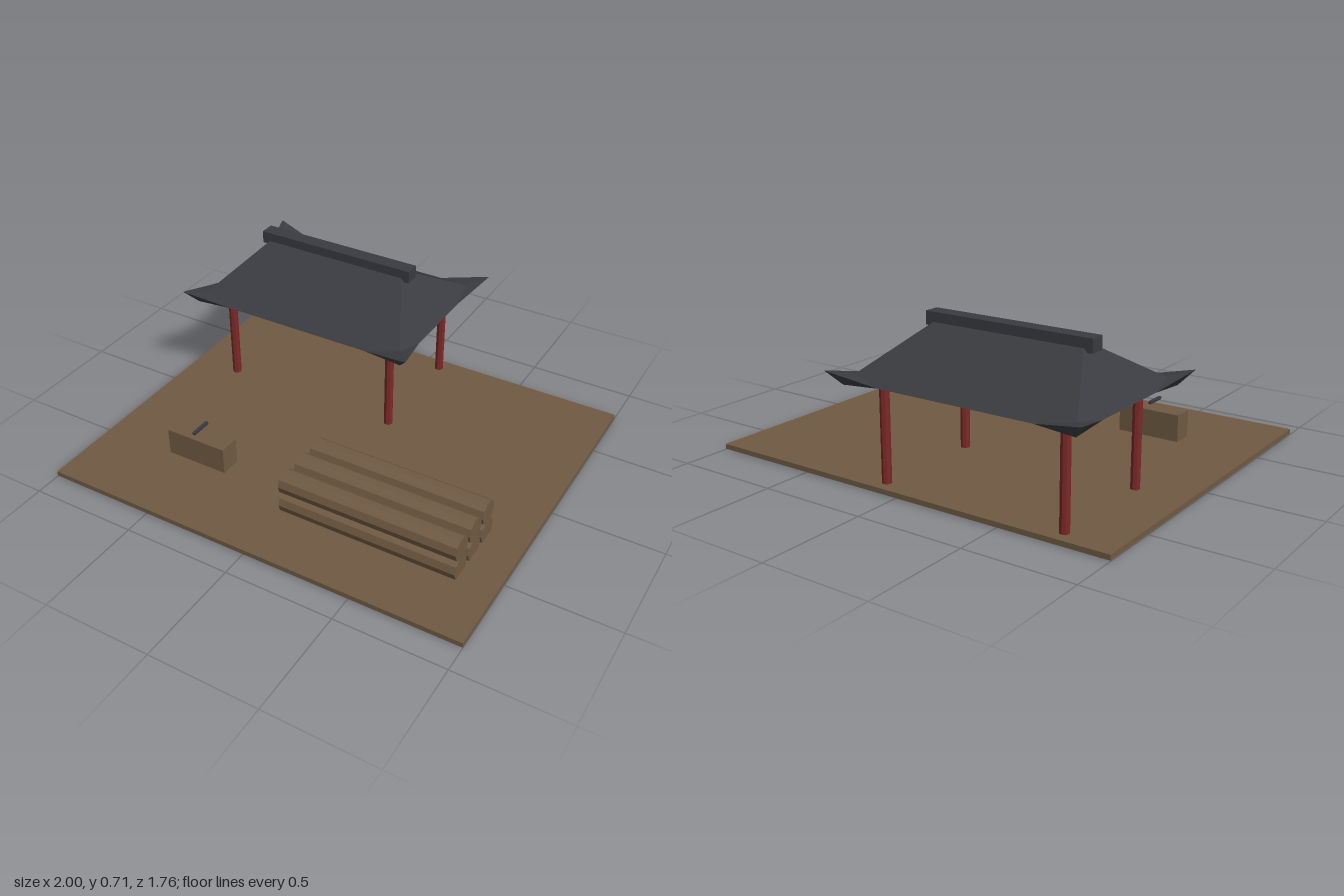
import * as THREE from 'three';
import { ConvexGeometry } from 'three/addons/geometries/ConvexGeometry.js';

export function createModel() {
  const model = new THREE.Group();
  model.name = 'timberYard';

  const material = (name, color) => {
    const m = new THREE.MeshStandardMaterial({ color });
    m.name = name;
    return m;
  };
  const wood = material('brown wood', 0x705a42);
  const slate = material('dark slate', 0x3a3b40);
  const red = material('red lacquer', 0x7c2828);

  const add = (parent, name, geometry, mat, x = 0, y = 0, z = 0) => {
    const mesh = new THREE.Mesh(geometry, mat);
    mesh.name = name;
    mesh.position.set(x, y, z);
    parent.add(mesh);
    return mesh;
  };
  // box given by its lower and upper limits
  const addBox = (parent, name, mat, x0, x1, y0, y1, z0, z1) =>
    add(parent, name, new THREE.BoxGeometry(x1 - x0, y1 - y0, z1 - z0), mat,
      (x0 + x1) / 2, (y0 + y1) / 2, (z0 + z1) / 2);
  const hull = (points) => new ConvexGeometry(points.map((p) => new THREE.Vector3(...p)));

  // Ground slab
  addBox(model, 'platform', wood, -1, 1, 0.003, 0.026, -0.78, 0.88);

  // Pavilion, built around its own centre
  const pavilion = new THREE.Group();
  pavilion.name = 'pavilion';
  pavilion.position.set(-0.335, 0, -0.45);
  model.add(pavilion);
  const corners = [[-1, -1], [1, -1], [1, 1], [-1, 1]];

  const postShape = new THREE.CylinderGeometry(0.021, 0.021, 0.47, 8).toNonIndexed();
  postShape.computeVertexNormals();
  for (const [sx, sz] of corners) {
    add(pavilion, 'post', postShape, red, sx * 0.432, 0.235, sz * 0.266);
  }

  // Hipped roof and ridge beam
  add(pavilion, 'roof', hull(corners.flatMap(([sx, sz]) => [
    [sx * 0.545, 0.47, sz * 0.38],
    [sx * 0.36, 0.67, sz * 0.036],
  ])), slate);
  addBox(pavilion, 'ridgeBeam', slate, -0.398, 0.398, 0.654, 0.713, -0.035, 0.035);

  // Upturned eave corners
  for (const [sx, sz] of corners) {
    add(pavilion, 'eaveCorner', hull([
      [sx * 0.597, 0.517, sz * 0.432], // outer tip
      [sx * 0.365, 0.47, sz * 0.38],
      [sx * 0.545, 0.47, sz * 0.2],
      [sx * 0.523, 0.496, sz * 0.342], // on the hip
      [sx * 0.545, 0.456, sz * 0.382], // under the corner
    ]), slate);
  }

  // Two layers of three logs
  const logs = new THREE.Group();
  logs.name = 'logStack';
  model.add(logs);
  const logShape = new THREE.CylinderGeometry(0.055, 0.055, 0.83, 10).toNonIndexed();
  logShape.computeVertexNormals();
  logShape.rotateZ(Math.PI / 2);
  for (const y of [0.06, 0.16]) {
    for (const z of [0.303, 0.427, 0.552]) add(logs, 'log', logShape, wood, 0.415, y, z);
  }

  // Work block with a small tool above it
  addBox(model, 'workBlock', wood, -0.65, -0.35, 0.002, 0.152, 0.415, 0.513);
  addBox(model, 'tool', slate, -0.511, -0.497, 0.179, 0.192, 0.415, 0.513);

  return model;
}
